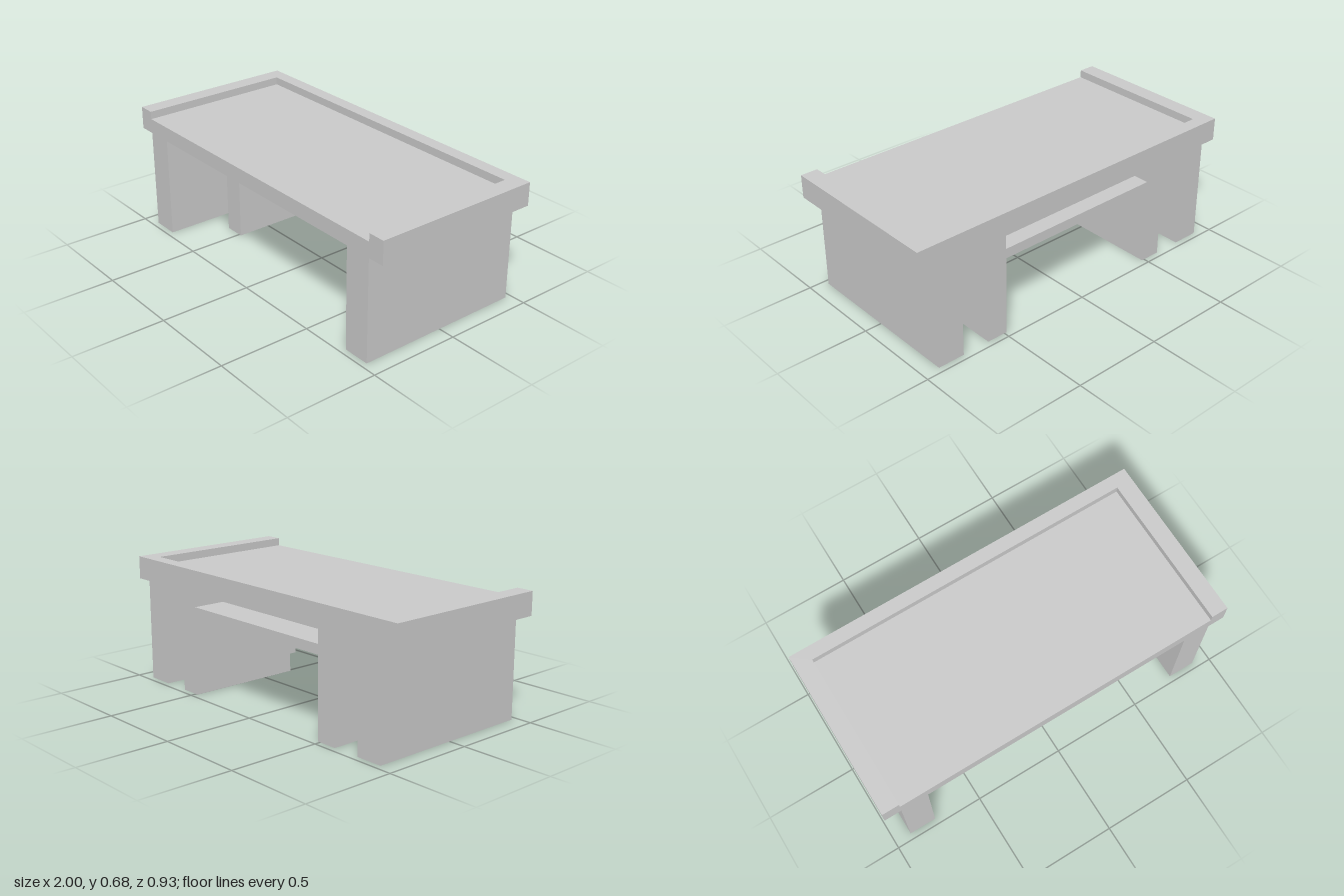
import * as THREE from 'three';

const material = new THREE.MeshStandardMaterial({ color: 0xcccccc, flatShading: true });

// Box given by its minimum and maximum on each axis
function block(name, [x0, x1], [y0, y1], [z0, z1]) {
  const mesh = new THREE.Mesh(new THREE.BoxGeometry(x1 - x0, y1 - y0, z1 - z0), material);
  mesh.position.set((x0 + x1) / 2, (y0 + y1) / 2, (z0 + z1) / 2);
  mesh.name = name;
  return mesh;
}

export function createModel() {
  const group = new THREE.Group();
  group.name = 'desk';

  const depth = 0.467;      // half depth of the top
  const under = 0.558;      // underside of the top
  const floor = 0.64;       // recessed work surface
  const top = 0.683;        // upper edge of the rim
  const recess = 0.907;     // half width of the recess
  const innerFront = 0.19;  // front of the set-back inner panels

  // Table top
  group.add(block('tableTop', [-1, 1], [under, floor], [-depth, depth]));

  // Raised rim around the sides and back, open at the front
  const outline = [
    [-1, -depth], [-recess, -depth], [-recess, 0.393], [recess, 0.393],
    [recess, -depth], [1, -depth], [1, depth], [-1, depth],
  ].map(([x, y]) => new THREE.Vector2(x, y));
  const rimGeometry = new THREE.ExtrudeGeometry(new THREE.Shape(outline), {
    depth: top - floor, bevelEnabled: false,
  });
  rimGeometry.rotateX(-Math.PI / 2);
  const rim = new THREE.Mesh(rimGeometry, material);
  rim.position.y = floor;
  rim.name = 'rim';
  group.add(rim);

  // Outer and inner leg panels, mirrored left and right
  for (const [side, s] of [['left', 1], ['right', -1]]) {
    const span = (a, b) => (s > 0 ? [a, b] : [-b, -a]);
    group.add(block(side + 'OuterLeg', span(0.757, recess), [0, under], [-depth, depth]));
    group.add(block(side + 'InnerLeg', span(0.485, 0.603), [0, under], [-depth, innerFront]));
  }

  // Shelf between the inner panels
  group.add(block('shelf', [-0.485, 0.485], [0.432, 0.485], [-depth, innerFront]));

  return group;
}
